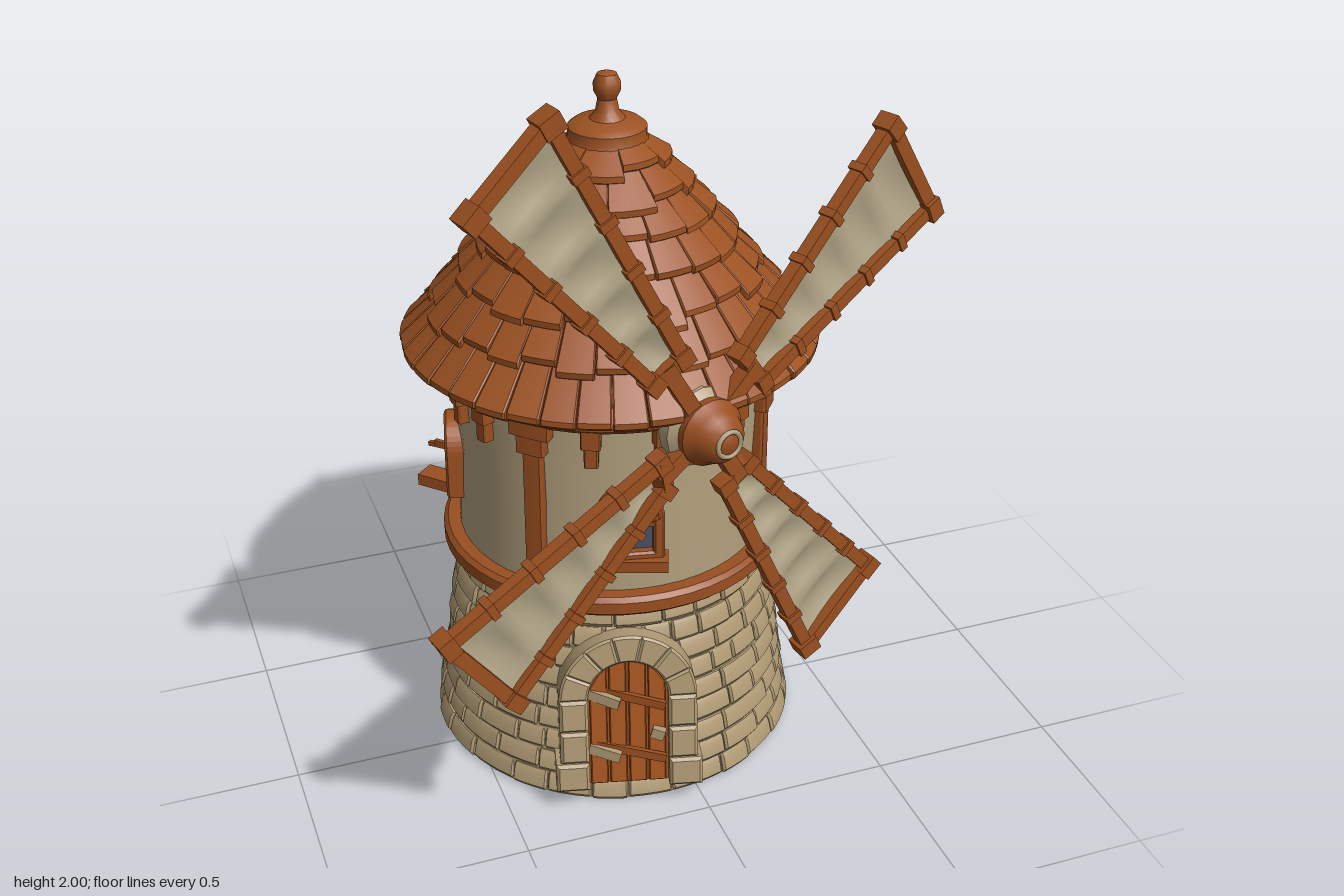
import * as THREE from 'three';
import { mergeGeometries, toCreasedNormals } from 'three/addons/utils/BufferGeometryUtils.js';

const mat = (name, color, side = THREE.FrontSide) => {
  const m = new THREE.MeshStandardMaterial({ color, side });
  m.name = name;
  return m;
};
const M = {
  roof: mat('roof brown', 0x9c5222),
  wood: mat('timber brown', 0x9a4f20),
  door: mat('door brown', 0xa8571f),
  stone: mat('stone beige', 0xb09a74),
  wall: mat('plaster beige', 0xb3a17e),
  cloth: mat('sail cloth', 0xb0a486, THREE.DoubleSide),
  glass: mat('window glass', 0x485166),
};
const V = (x, y, z) => new THREE.Vector3(x, y, z);
const rad = THREE.MathUtils.degToRad;

let seed = 7;
const rnd = () => (seed = (seed * 16807) % 2147483647) / 2147483647;

function add(parent, name, geo, material) {
  const m = new THREE.Mesh(geo, material);
  m.name = name;
  parent.add(m);
  return m;
}

// Closed profile of [r, y] points swept round the y axis from a0 to a1; bevel pulls in the ends
function ringBlock(loop, a0, a1, bevel = 0, steps = 3) {
  const n = loop.length, pos = [], secs = [];
  const ends = bevel ? [[a0, bevel], [a0 + bevel * 1.5, 0]] : [[a0, 0]];
  secs.push(...ends);
  for (let i = 1; i < steps; i++) secs.push([a0 + (a1 - a0) * i / steps, 0]);
  if (bevel) secs.push([a1 - bevel * 1.5, 0]);
  secs.push([a1, bevel]);
  const pts = secs.map(([a, b]) => loop.map(([r, y]) => V((r - b) * Math.sin(a), y, (r - b) * Math.cos(a))));
  const tri = (...v) => v.forEach(p => pos.push(p.x, p.y, p.z));
  for (let i = 0; i + 1 < pts.length; i++) for (let j = 0; j < n; j++) {
    const k = (j + 1) % n, p = pts[i], q = pts[i + 1];
    tri(p[j], q[j], q[k]);
    tri(p[j], q[k], p[k]);
  }
  const s = pts[0], e = pts[pts.length - 1];
  for (let j = 1; j + 1 < n; j++) { tri(s[0], s[j], s[j + 1]); tri(e[0], e[j + 1], e[j]); }
  const g = new THREE.BufferGeometry();
  g.setAttribute('position', new THREE.Float32BufferAttribute(pos, 3));
  return toCreasedNormals(g, 0.5);
}

const lathe = (pts, seg = 48) =>
  toCreasedNormals(new THREE.LatheGeometry(pts.map(p => new THREE.Vector2(...p)), seg), 0.6);

// Square timber between two points
function beam(parent, name, a, b, w, d = w, material = M.wood) {
  const m = add(parent, name, new THREE.BoxGeometry(w, d, a.distanceTo(b)), material);
  m.position.copy(a).add(b).multiplyScalar(0.5);
  m.lookAt(b);
  return m;
}

// Round-headed outline: half width w, from y0 up to the springing ys
function arch(w, y0, ys, Type = THREE.Shape) {
  const s = new Type();
  s.moveTo(-w, y0);
  s.lineTo(w, y0);
  s.lineTo(w, ys);
  s.absarc(0, ys, w, 0, Math.PI, false);
  s.closePath();
  return s;
}
function extrude(shape, z0, z1, bevel = 0) {
  const g = new THREE.ExtrudeGeometry(shape, { depth: z1 - z0 - 2 * bevel, curveSegments: 10,
    bevelEnabled: bevel > 0, bevelSize: bevel, bevelThickness: bevel, bevelOffset: -bevel, bevelSegments: 1 });
  return g.translate(0, 0, z0 + bevel);
}

function buildBase(tower) {
  add(tower, 'baseCore', lathe([[0, 0], [0.487, 0], [0.405, 0.57], [0, 0.57]]), M.stone);
  const wallR = y => 0.497 - 0.143 * y, rows = 9, h = 0.565 / rows, blocks = [];
  for (let i = 0; i < rows; i++) {
    let a = rnd();
    const end = a + Math.PI * 2, y0 = i * h, y1 = y0 + h - 0.003;
    while (a < end - 0.01) {
      let next = a + 0.17 + rnd() * 0.16;
      if (end - next < 0.15) next = end;
      const o = (rnd() - 0.5) * 0.009, r0 = wallR(y0) + o, r1 = wallR(y1) + o;
      blocks.push(ringBlock([[r0 - 0.03, y0], [r0 - 0.008, y0], [r0, y0 + 0.012],
        [r1, y1 - 0.012], [r1 - 0.008, y1], [r1 - 0.03, y1]], a + 0.003, next - 0.003, 0.007));
      a = next;
    }
  }
  add(tower, 'stoneCourses', mergeGeometries(blocks), M.stone);
}

function buildDoor(tower) {
  const door = new THREE.Group();
  door.name = 'doorway';
  door.rotation.set(-0.13, rad(-14), 0, 'YXZ');
  tower.add(door);
  const ri = 0.105, ro = 0.18, ys = 0.26;
  // Jamb stones and arch stones
  for (const s of [-1, 1]) [[0, 0.08], [0.08, 0.17], [0.17, ys]].forEach(([y0, y1], i) => {
    const w = ro - ri + (i === 0 ? 0.012 : 0), b = new THREE.Shape();
    b.moveTo(0, y0); b.lineTo(w, y0); b.lineTo(w, y1); b.lineTo(0, y1); b.closePath();
    add(door, 'jambStone', extrude(b, 0.36, 0.545 - i * 0.006, 0.008), M.stone).position.x = s > 0 ? ri : -ri - w;
  });
  for (let i = 0; i < 7; i++) {
    const a0 = Math.PI * i / 7, a1 = Math.PI * (i + 1) / 7, s = new THREE.Shape();
    s.absarc(0, ys, ro, a0, a1, false);
    s.absarc(0, ys, ri, a1, a0, true);
    s.closePath();
    add(door, 'archStone', extrude(s, 0.38, 0.53, 0.006), M.stone);
  }
  add(door, 'doorPanel', extrude(arch(ri, 0.003, ys), 0.42, 0.508), M.wood);
  // Planks follow the round head
  for (let i = 0; i < 4; i++) {
    const x0 = -0.1 + i * 0.051, x1 = x0 + 0.045, s = new THREE.Shape();
    const top = x => ys + Math.sqrt(Math.max(0, 0.104 ** 2 - x * x));
    s.moveTo(x0, 0.004); s.lineTo(x1, 0.004); s.lineTo(x1, top(x1));
    s.lineTo((x0 + x1) / 2, top((x0 + x1) / 2)); s.lineTo(x0, top(x0)); s.closePath();
    add(door, 'doorPlank', extrude(s, 0.5, 0.516, 0.003), M.door);
  }
  for (const y of [0.1, 0.26]) {
    beam(door, 'doorStrap', V(-0.1, y, 0.518), V(0.1, y, 0.518), 0.012, 0.024, M.wood);
    beam(door, 'hinge', V(-0.105, y, 0.52), V(-0.02, y, 0.52), 0.016, 0.03, M.stone);
  }
  beam(door, 'handle', V(0.06, 0.15, 0.522), V(0.095, 0.15, 0.522), 0.02, 0.03, M.stone);
}

function buildWindow(tower, deg) {
  const w = new THREE.Group();
  w.name = 'window';
  w.rotation.y = rad(deg);
  tower.add(w);
  const frame = arch(0.085, 0.71, 0.838);
  frame.holes.push(arch(0.055, 0.74, 0.838, THREE.Path));
  add(w, 'windowFrame', extrude(frame, 0.38, 0.442, 0.006), M.wood);
  add(w, 'windowGlass', extrude(arch(0.06, 0.735, 0.838), 0.38, 0.418), M.glass);
  beam(w, 'mullion', V(0, 0.735, 0.422), V(0, 0.895, 0.422), 0.012, 0.012);
  beam(w, 'glazingBar', V(-0.057, 0.82, 0.422), V(0.057, 0.82, 0.422), 0.012);
  beam(w, 'windowSill', V(-0.095, 0.707, 0.425), V(0.095, 0.707, 0.425), 0.06, 0.032);
}

function buildUpper(tower) {
  add(tower, 'plasterWall', lathe([[0.41, 0.56], [0.412, 0.6], [0.403, 0.85], [0.415, 1.12]]), M.wall);
  add(tower, 'lowerBand', lathe([[0.4, 0.557], [0.445, 0.557], [0.457, 0.568], [0.457, 0.6], [0.445, 0.612], [0.4, 0.612]]), M.wood);
  add(tower, 'upperBand', lathe([[0.4, 1.085], [0.44, 1.085], [0.45, 1.095], [0.45, 1.14], [0.4, 1.14]]), M.wood);
  const strip = (name, deg, half, y0, y1, r) => add(tower, name, ringBlock(
    [[0.38, y0], [r, y0], [r, y1], [0.38, y1]], rad(deg) - half, rad(deg) + half, 0.006), M.wood);
  const posts = [51, 140, 232, 314];
  for (const a of posts) {
    strip('wallPost', a, 0.062, 0.6, 1.1, 0.43);
    strip('postHead', a, 0.09, 1.0, 1.095, 0.44);
    strip('postCap', a, 0.13, 1.05, 1.095, 0.445);
    for (const d of [-21, 21, 45]) {
      strip('corbel', a + d, 0.042, 0.985, 1.095, 0.437);
      strip('corbelHead', a + d, 0.058, 1.04, 1.095, 0.445);
    }
  }
  [-12, 98, 181, 255].forEach(a => buildWindow(tower, a));
}

function buildRoof(tower) {
  const P = [[0.525, 1.145], [0.44, 1.25], [0.375, 1.34], [0.31, 1.42], [0.25, 1.5], [0.19, 1.57], [0.14, 1.63], [0.09, 1.68]];
  add(tower, 'roofCore', lathe([[0.38, 1.125], [0.52, 1.14], ...P.slice(1), [0, 1.7]]), M.roof);
  // Overlapping rows of ragged shingles
  const tiles = [];
  for (let i = 0; i < 7; i++) {
    const [rb, yb] = P[i], [rt, yt] = P[i + 1], L = Math.hypot(rb - rt, yt - yb);
    const d = [(rb - rt) / L, (yb - yt) / L], nr = [-d[1], d[0]];
    const count = [38, 30, 24, 20, 15, 11, 8][i], off = rnd();
    for (let k = 0; k < count; k++) {
      const drop = i === 0 ? rnd() * 0.008 : rnd() * 0.04 - 0.008, t = 0.02 + rnd() * 0.012;
      const at = (r, y, along, out) => [r + d[0] * along + nr[0] * out, y + d[1] * along + nr[1] * out];
      const a0 = off + k / count * Math.PI * 2, a1 = off + (k + 1) / count * Math.PI * 2;
      tiles.push(ringBlock([at(rb, yb, drop, -0.008), at(rb, yb, drop, t * 0.6), at(rb, yb, drop - 0.012, t),
        at(rt, yt, -0.015, 0.008), at(rt, yt, -0.015, -0.012)], a0 + 0.002, a1 - 0.002, 0.005));
    }
  }
  add(tower, 'shingles', mergeGeometries(tiles), M.roof);
  add(tower, 'finial', lathe([[0.1, 1.655], [0.108, 1.675], [0.1, 1.69], [0.1, 1.715], [0.085, 1.727], [0.045, 1.735],
    [0.03, 1.755], [0.024, 1.785], [0.034, 1.805], [0.035, 1.825], [0.025, 1.848], [0, 1.857]], 24), M.roof);
}

// Sail from its corners: inner i0, i1 and outer o0, o1
function buildSail(parent, i0, i1, o0, o1) {
  const sail = new THREE.Group();
  sail.name = 'sail';
  parent.add(sail);
  const at = (u, v) => i0.clone().lerp(i1, u).lerp(o0.clone().lerp(o1, u), v);
  const n = o1.clone().sub(i0).cross(o0.clone().sub(i1)).normalize();
  if (n.z < 0) n.negate();
  const cloth = new THREE.PlaneGeometry(1, 1, 6, 25), p = cloth.attributes.position;
  for (let i = 0; i < p.count; i++) {
    const u = p.getX(i) + 0.5, v = p.getY(i) + 0.5;
    const q = at(u, v).addScaledVector(n, -0.022 * Math.sin(Math.PI * u) * Math.abs(Math.sin(5 * Math.PI * v)));
    p.setXYZ(i, q.x, q.y, q.z);
  }
  cloth.computeVertexNormals();
  add(sail, 'sailCloth', cloth, M.cloth);
  for (const u of [0, 1]) {
    beam(sail, 'sailRail', at(u, -0.02), at(u, 1.01), 0.034);
    for (const v of [0.2, 0.4, 0.6, 0.8]) beam(sail, 'railClip', at(u, v - 0.016), at(u, v + 0.016), 0.046);
    beam(sail, 'cornerKnob', at(u, 0.965), at(u, 1.03), 0.056);
    beam(sail, 'innerKnob', at(u, -0.03), at(u, 0.03), 0.046);
  }
  beam(sail, 'outerBar', at(-0.08, 1), at(1.08, 1), 0.036);
  beam(sail, 'innerBar', at(-0.15, 0), at(1.15, 0), 0.036);
  beam(sail, 'sailArm', V(0.0, 1.11, 0.43), at(0.5, 0.02), 0.04);
}

function buildRotor(root) {
  const hub = new THREE.Group();
  hub.name = 'hub';
  hub.position.set(0, 1.11, 0.42);
  hub.rotation.set(Math.PI / 2, 0, -0.26);
  root.add(hub);
  add(hub, 'shaft', new THREE.CylinderGeometry(0.055, 0.065, 0.2, 16).translate(0, -0.12, 0), M.wood);
  add(hub, 'hubCollar', lathe([[0, -0.06], [0.09, -0.06], [0.105, -0.045], [0.105, -0.01], [0.085, 0.01], [0, 0.01]], 16), M.wall);
  add(hub, 'hubCap', lathe([[0.085, 0], [0.088, 0.03], [0.07, 0.055], [0.06, 0.08], [0.035, 0.1], [0, 0.105]], 20), M.wood);
  add(hub, 'hubRing', new THREE.TorusGeometry(0.033, 0.007, 6, 18).rotateX(Math.PI / 2).translate(0, 0.1, 0), M.wall);
  buildSail(root, V(-0.065, 1.32, 0.43), V(-0.145, 1.27, 0.45), V(-0.4, 1.965, 0.5), V(-0.595, 1.805, 0.575));
  buildSail(root, V(0.16, 1.19, 0.38), V(0.1, 1.28, 0.4), V(0.71, 1.48, 0.155), V(0.565, 1.73, 0.195));
  buildSail(root, V(-0.13, 1.06, 0.46), V(-0.115, 0.98, 0.45), V(-0.705, 0.755, 0.59), V(-0.54, 0.53, 0.55));
  buildSail(root, V(0.055, 0.94, 0.42), V(0.125, 0.975, 0.39), V(0.32, 0.36, 0.365), V(0.52, 0.525, 0.295));
}

export function createModel() {
  seed = 7;
  const root = new THREE.Group();
  root.name = 'windmill';
  const tower = new THREE.Group();
  tower.name = 'tower';
  tower.position.set(-0.07, 0, -0.085);
  root.add(tower);
  buildBase(tower);
  buildDoor(tower);
  buildUpper(tower);
  buildRoof(tower);
  buildRotor(root);
  return root;
}
